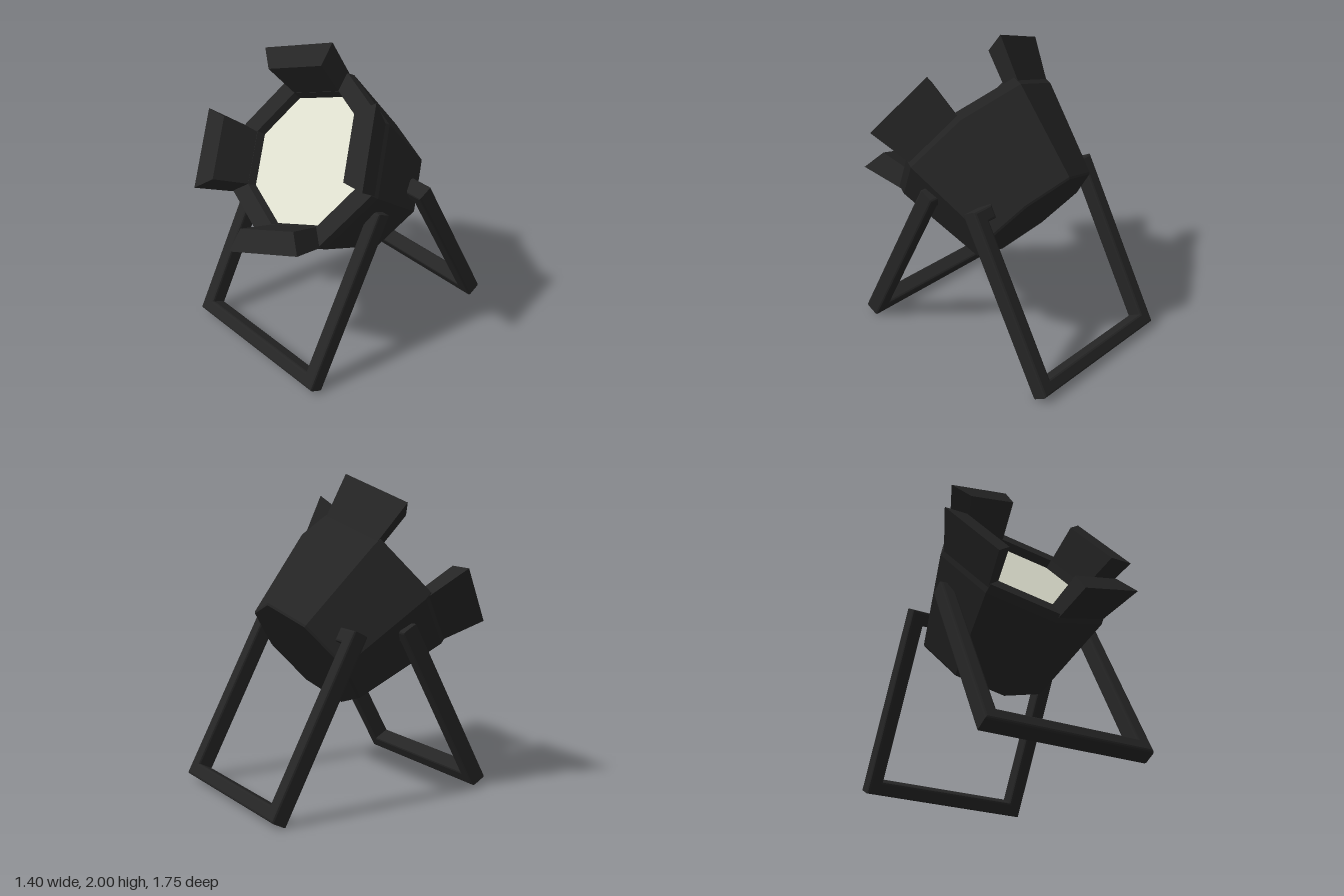
import * as THREE from 'three';
import { ConvexGeometry } from 'three/addons/geometries/ConvexGeometry.js';

const black = new THREE.MeshStandardMaterial({ color: 0x252525 });
black.name = 'matte black';
const glass = new THREE.MeshStandardMaterial({ color: 0xdfe0cf });
glass.name = 'pale lens';

const v2 = (x, y) => new THREE.Vector2(x, y);

function add(parent, name, geometry, material) {
  const mesh = new THREE.Mesh(geometry, material);
  mesh.name = name;
  parent.add(mesh);
  return mesh;
}

// Flat facets from an indexed geometry
function faceted(geometry) {
  const flat = geometry.toNonIndexed();
  flat.computeVertexNormals();
  return flat;
}

// Lamp head: built along +y, then tipped forward
function createHead() {
  const head = new THREE.Group();
  head.name = 'lampHead';

  // Eight-sided flared housing, with a rim turned in to the lens
  const profile = [
    v2(0, 0), v2(0.435, 0), v2(0.445, 0.012), v2(0.594, 0.63),
    v2(0.585, 0.69), v2(0.46, 0.69), v2(0.44, 0.635),
  ];
  add(head, 'housing', faceted(new THREE.LatheGeometry(profile, 8)), black);

  const lens = add(head, 'lens', new THREE.CircleGeometry(0.445, 8).rotateX(-Math.PI / 2), glass);
  lens.position.y = 0.636;

  // Four thick flaps on alternate sides, flaring outward
  const section = [[0.45, 0.66], [0.585, 0.66], [0.70, 0.935], [0.545, 0.935]];
  for (let k = 0; k < 4; k++) {
    const start = k * Math.PI / 2;
    const points = [];
    for (const a of [start + 0.012, start + Math.PI / 4 - 0.004]) {
      for (const [r, y] of section) {
        points.push(new THREE.Vector3(r * Math.cos(a), y, -r * Math.sin(a)));
      }
    }
    add(head, 'flap' + (k + 1), new ConvexGeometry(points), black);
  }

  head.position.set(0, 0.875, -0.295);
  head.rotation.x = 0.902;
  return head;
}

// Square-bar frame with short pegs turned in at the top
function standGeometry() {
  const w = 0.565, t = 0.09, h = 1.21, peg = 0.41, bevel = 0.014, depth = 0.11;
  const half = [[w, 0], [w, h], [peg, h], [peg, h - t], [w - t, h - t], [w - t, t]];
  const mirrored = half.map(([x, y]) => [-x, y]).reverse();
  const shape = new THREE.Shape([...half, ...mirrored].map(([x, y]) => v2(x, y)));
  return new THREE.ExtrudeGeometry(shape, {
    depth: depth - 2 * bevel,
    bevelEnabled: true,
    bevelSize: bevel,
    bevelThickness: bevel,
    bevelOffset: -bevel,
    bevelSegments: 2,
  }).translate(0, 0, bevel - depth / 2);
}

export function createModel() {
  const model = new THREE.Group();
  model.name = 'stageLight';

  const lamp = new THREE.Group();
  lamp.name = 'lamp';
  lamp.position.x = -0.015;
  lamp.rotation.y = 0.026;
  model.add(lamp);
  lamp.add(createHead());

  // Front and rear stands lean towards each other
  const geometry = standGeometry();
  for (const [name, turn] of [['frontStand', 0], ['rearStand', Math.PI]]) {
    const holder = new THREE.Group();
    holder.name = name;
    holder.position.z = -0.072;
    holder.rotation.y = turn;
    lamp.add(holder);
    const frame = add(holder, name + 'Frame', geometry, black);
    frame.position.set(0, 0.026, 0.75);
    frame.rotation.x = -0.492;
  }

  return model;
}
